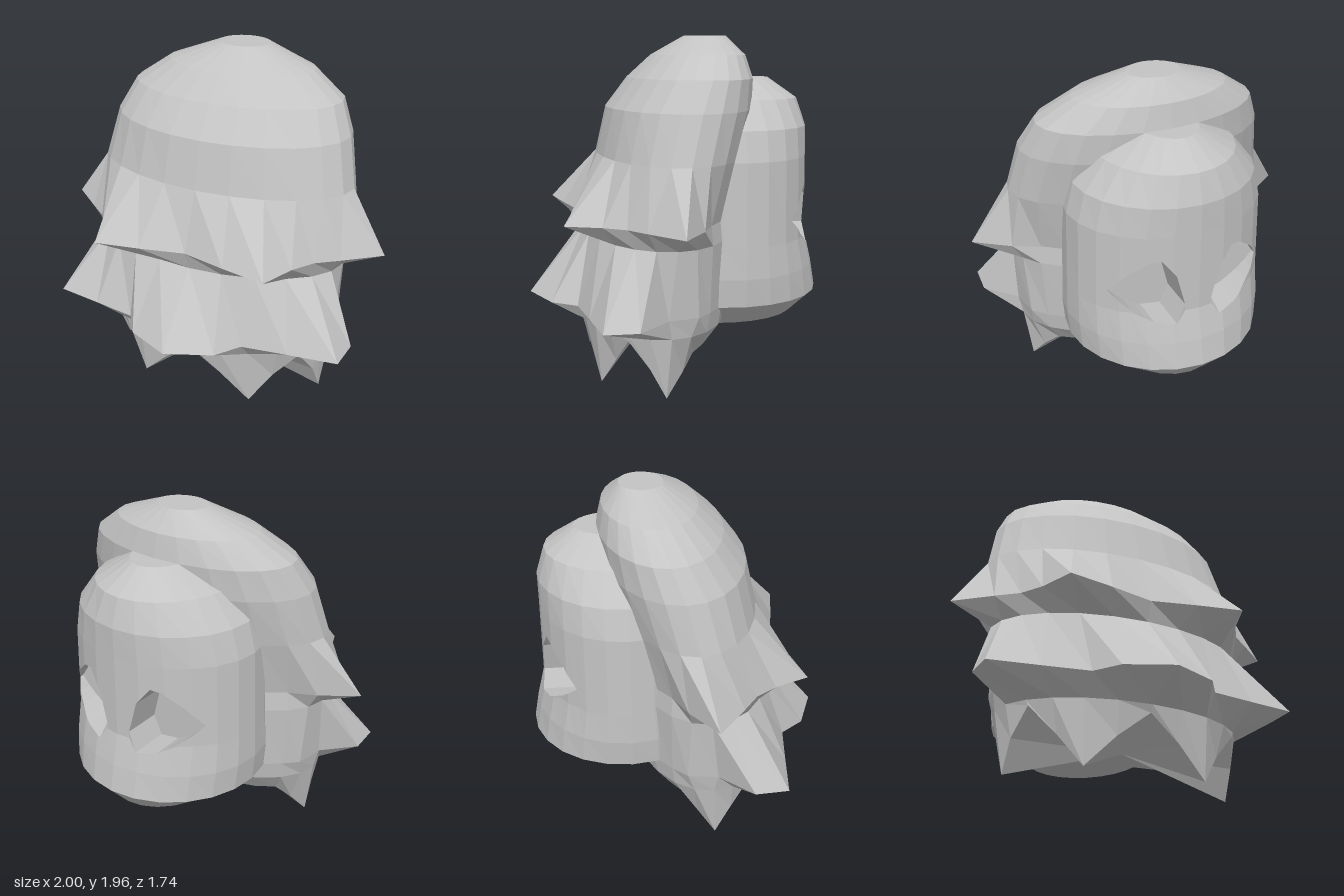
import * as THREE from 'three';

const grey = new THREE.MeshStandardMaterial({ color: 0xc4c4c4, flatShading: true });
grey.name = 'stone grey';

// Skin a list of rings of [x, y, z]; a ring of one point closes an end.
function loft(name, rings, skip = () => false) {
  const pos = [];
  const n = Math.max(...rings.map(r => r.length));
  for (let j = 0; j < rings.length - 1; j++) {
    const up = rings[j], low = rings[j + 1];
    for (let i = 0; i < n; i++) {
      if (skip(j, i)) continue;
      const a = up[i % up.length], d = up[(i + 1) % n % up.length];
      const b = low[i % low.length], c = low[(i + 1) % n % low.length];
      if (low.length > 1) pos.push(...a, ...b, ...c);
      if (up.length > 1) pos.push(...a, ...c, ...d);
    }
  }
  const g = new THREE.BufferGeometry();
  g.setAttribute('position', new THREE.Float32BufferAttribute(pos, 3));
  g.computeVertexNormals();
  const mesh = new THREE.Mesh(g, grey);
  mesh.name = name;
  return mesh;
}

const STEP = Math.PI / 12;

// Half an ellipse ring, from the front round to the back
const half = (y, rx, front, back) => Array.from({ length: 13 }, (_, i) =>
  [rx * Math.sin(i * STEP), y, (front + back) / 2 + (front - back) / 2 * Math.cos(i * STEP)]);

// Complete a half ring by mirroring it in x
const mirror = h => [...h, ...h.slice(1, 12).reverse().map(([x, y, z]) => [-x, y, z])];

// Replace the first points of a half ring by jagged lock tips
const jag = (h, tips) => h.map((p, i) => tips[i] ? [tips[i][0], p[1], tips[i][1]] : p);

function makeHair() {
  const upperTips = [[0, 0.59], [0.26, 0.65], [0.52, 0.7], [0.6, 0.5], [0.68, 0.38], [0.8, 0.29], [1, 0.13], [0.8, -0.01]];
  const lowerTips = [[0, 0.87], [0.26, 0.76], [0.36, 0.62], [0.62, 0.58], [0.9, 0.54], [0.91, 0.35], [0.74, 0.17], [0.71, 0]];
  const fringe = [
    [0, 0.31, 0.56], [0.18, 0.17, 0.53], [0.35, 0, 0.49], [0.47, 0.17, 0.42], [0.61, 0.32, 0.37],
    [0.66, 0.17, 0.26], [0.67, 0, 0.17], [0.62, 0.13, 0.07], [0.55, 0.21, 0], [0.45, 0.22, -0.08],
    [0.33, 0.24, -0.15], [0.17, 0.25, -0.19], [0, 0.25, -0.2]];
  const rings = [
    half(1.96, 0.15, -0.06, -0.31),
    half(1.85, 0.45, 0.13, -0.41),
    half(1.72, 0.64, 0.27, -0.44),
    half(1.55, 0.72, 0.4, -0.43),
    half(1.28, 0.78, 0.46, -0.35),
    jag(half(0.95, 0.75, 0.55, -0.29), upperTips),
    half(0.84, 0.76, 0.55, -0.3),
    jag(half(0.46, 0.73, 0.58, -0.3), lowerTips),
    half(0.35, 0.72, 0.58, -0.28),
    fringe,
  ].map(mirror);
  return loft('hair', [[[0, 1.96, -0.18]], ...rings, [[0, 0.19, 0.2]]]);
}

// Face profile rows: y, half width, half depth
const ROWS = [
  [1.72, 0.18, 0.27], [1.6, 0.39, 0.44], [1.44, 0.52, 0.49], [1.27, 0.565, 0.49],
  [0.8, 0.58, 0.495], [0.62, 0.585, 0.54], [0.46, 0.57, 0.57], [0.3, 0.34, 0.43]];
const FACE_Z = -0.3;

function radiiAt(y) {
  let k = 0;
  while (k < ROWS.length - 2 && y < ROWS[k + 1][0]) k++;
  const [a, b] = [ROWS[k], ROWS[k + 1]];
  const f = (a[0] - y) / (a[0] - b[0]);
  return [1, 2].map(i => a[i] + (b[i] - a[i]) * f);
}

// Point on the faceted face; t counts 24ths of a turn from the front
function faceAt(t, y) {
  const [rx, rz] = radiiAt(y);
  const lo = Math.floor(t), f = t - lo;
  const mix = fn => fn(lo * STEP) * (1 - f) + fn((lo + 1) * STEP) * f;
  return [rx * mix(Math.sin), y, FACE_Z + rz * mix(Math.cos)];
}

// Height of an eyelid line at t, mirrored about the middle of the face
function lidAt(line, t) {
  const m = Math.min(t, 24 - t);
  for (let k = 0; k < line.length - 1; k++) {
    const [a, b] = [line[k], line[k + 1]];
    if (m >= a[0] && m <= b[0]) return a[1] + (b[1] - a[1]) * (m - a[0]) / (b[0] - a[0]);
  }
  return 0.92;
}

// Back of the face with two sunken eyes, built in upright strips
function makeEyePanel() {
  const toT = ([x, y]) => [12 - Math.asin(x / radiiAt(y)[0]) / STEP, y];
  const outer = [0.46, 0.92], inner = [0.08, 0.84];
  const upper = [outer, [0.38, 1.03], [0.27, 1.12], [0.21, 1.13], [0.13, 1.03], inner].map(toT);
  const lower = [outer, [0.36, 0.82], [0.25, 0.75], [0.13, 0.73], inner].map(toT);
  const corners = [...upper, ...lower].map(p => p[0]);
  const columns = Array.from({ length: 11 }, (_, i) => i + 7);
  const ts = [...new Set([...columns, ...corners, ...corners.map(t => 24 - t)])].sort((a, b) => a - b);
  const hi = ts.map(t => lidAt(upper, t));
  const lo = ts.map(t => lidAt(lower, t));
  const row = ys => ts.map((t, i) => faceAt(t, ys(i)));
  const sunk = ring => ring.map(([x, y]) => [x, y, -0.57]);
  const top = row(i => hi[i]), bottom = row(i => lo[i]);
  const rings = [row(() => 1.27), top, sunk(top), sunk(bottom), bottom,
    row(i => Math.min(lo[i], 0.8)), row(() => 0.62)];
  const shut = i => hi[i] - lo[i] < 1e-6;
  return loft('eyePanel', rings, (j, i) =>
    i === ts.length - 1 || (j >= 1 && j <= 3 && shut(i) && shut(i + 1)));
}

export function createModel() {
  const group = new THREE.Group();
  group.name = 'head';
  group.add(makeHair());

  // Face body, left open where the eye panel sits
  const rings = ROWS.map(([y]) => Array.from({ length: 24 }, (_, t) => faceAt(t, y)));
  const open = (j, i) => (j === 4 || j === 5) && i >= 7 && i < 17;
  group.add(loft('face', [[[0, 1.72, FACE_Z]], ...rings, [[0, 0.3, FACE_Z]]], open));
  group.add(makeEyePanel());
  return group;
}
